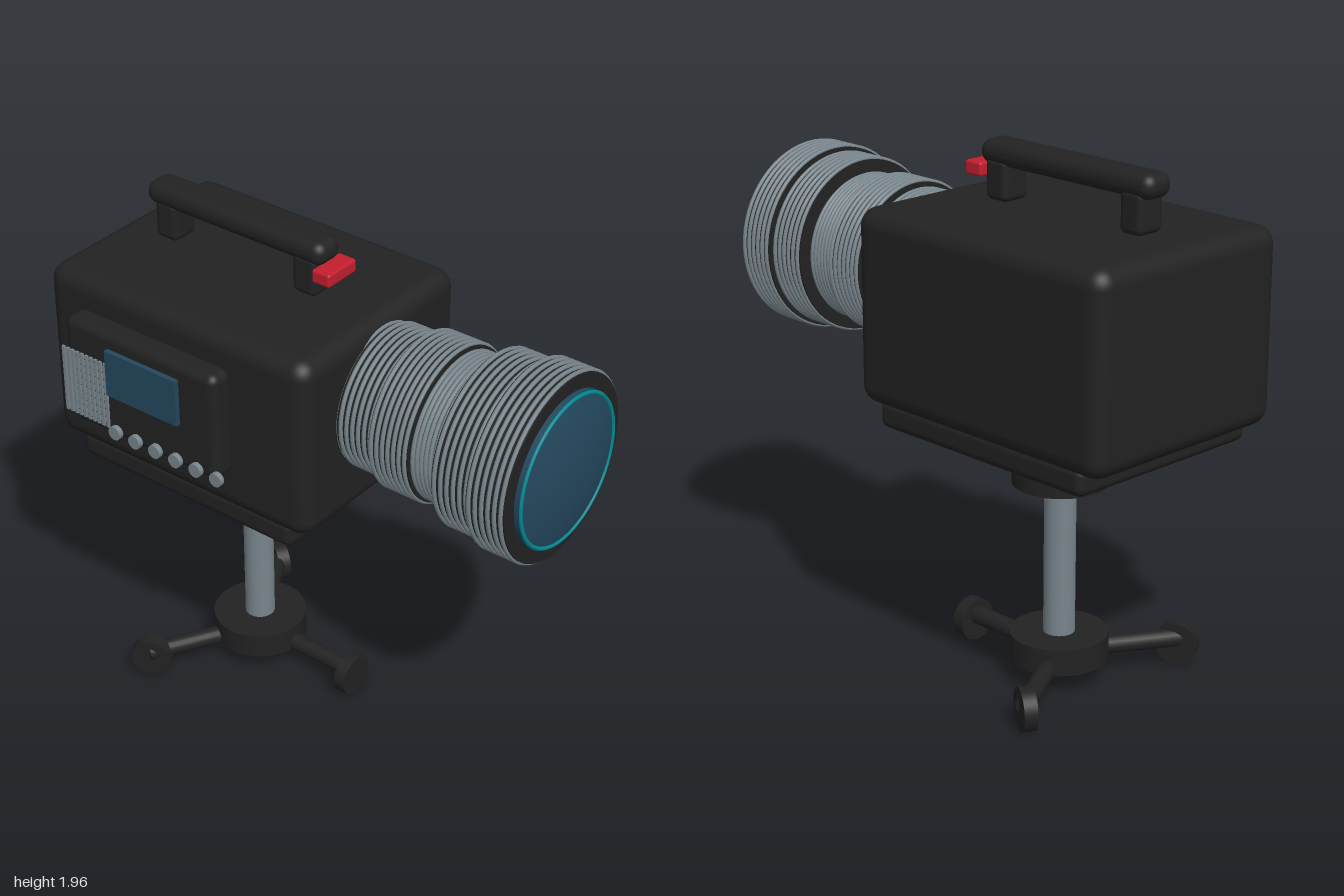
import * as THREE from 'three';
import { RoundedBoxGeometry } from 'three/addons/geometries/RoundedBoxGeometry.js';

const CX = 0.045; // middle of the body
const POLE_Z = -0.4;
const LENS_Y = 1.43;

function mat(name, color) {
  const m = new THREE.MeshStandardMaterial({ color });
  m.name = name;
  return m;
}

export function createModel() {
  const black = mat('black casing', 0x222222);
  const grey = mat('grey metal', 0x78858c);
  const blue = mat('blue glass', 0x24485e);
  const teal = mat('teal rim', 0x008b94);
  const red = mat('red button', 0xc41e2e);
  const model = new THREE.Group();

  const add = (name, geo, material, x, y, z, parent = model) => {
    const mesh = new THREE.Mesh(geo, material);
    mesh.name = name;
    mesh.position.set(x, y, z);
    parent.add(mesh);
    return mesh;
  };
  // rounded box given by its limits
  const box = (name, material, [x0, x1], [y0, y1], [z0, z1], r) =>
    add(name, new RoundedBoxGeometry(x1 - x0, y1 - y0, z1 - z0, 4, r), material,
      (x0 + x1) / 2, (y0 + y1) / 2, (z0 + z1) / 2);
  // upright cylinder given by its bottom and top
  const post = (name, material, r, y0, y1) =>
    add(name, new THREE.CylinderGeometry(r, r, y1 - y0, 40), material, CX, (y0 + y1) / 2, POLE_Z);

  // Body and mounting plate
  box('body', black, [-0.4, 0.49], [1.02, 1.74], [-1, 0.19], 0.07);
  box('mountingPlate', black, [-0.375, 0.465], [0.94, 1.05], [-0.9, 0.1], 0.035);

  // Carrying handle with its red button
  box('handleBar', black, [-0.02, 0.11], [1.87, 1.96], [-0.85, -0.04], 0.042);
  box('handlePostFront', black, [-0.015, 0.105], [1.745, 1.9], [-0.175, -0.07], 0.025);
  box('handlePostBack', black, [-0.015, 0.105], [1.745, 1.9], [-0.81, -0.71], 0.025);
  box('recordButton', red, [-0.035, 0.122], [1.825, 1.877], [-0.068, 0.01], 0.01);

  // Stand
  post('collar', black, 0.175, 0.76, 0.96);
  post('pole', grey, 0.058, 0.15, 0.8);
  post('hub', black, 0.182, 0.08, 0.18);

  // Three legs with disc feet
  for (let i = -1; i <= 1; i++) {
    const a = i * Math.PI * 2 / 3;
    const leg = new THREE.Group();
    leg.name = 'leg';
    leg.position.set(CX, 0, POLE_Z);
    leg.rotation.y = a;
    model.add(leg);
    const rod = new THREE.CylinderGeometry(0.035, 0.035, 0.47, 20).rotateX(Math.PI / 2);
    add('legRod', rod, black, 0, 0.1, 0.235, leg);
    // the rear discs are turned to face forwards
    const disc = new THREE.CylinderGeometry(0.08, 0.08, 0.05, 32).rotateX(Math.PI / 2);
    add('foot', disc, black, 0, 0.08, 0.455, leg).rotation.y = -i * Math.PI / 3;
  }

  // Lens barrel: stepped sections carrying fine grip rings
  const lens = new THREE.Group();
  lens.name = 'lens';
  lens.position.set(CX, LENS_Y, 0);
  model.add(lens);
  const sections = [
    [0.17, 0.345, 0.275, 7], [0.345, 0.51, 0.3, 7], [0.51, 0.635, 0.28, 7],
    [0.635, 0.79, 0.335, 6], [0.79, 0.945, 0.356, 6],
  ];
  for (const [z0, z1, r, rings] of sections) {
    const barrel = new THREE.CylinderGeometry(r - 0.01, r - 0.01, z1 - z0, 64).rotateX(Math.PI / 2);
    add('barrelSection', barrel, black, 0, 0, (z0 + z1) / 2, lens);
    const step = (z1 - z0) / rings;
    for (let i = 0; i < rings; i++) {
      add('gripRing', new THREE.TorusGeometry(r - 0.008, 0.008, 8, 64), grey,
        0, 0, z0 + step * (i + 0.5), lens);
    }
  }

  // Domed front glass with a teal rim
  const seat = new THREE.CylinderGeometry(0.29, 0.29, 0.03, 64).rotateX(Math.PI / 2);
  add('glassSeat', seat, blue, 0, 0, 0.95, lens);
  add('glassRim', new THREE.TorusGeometry(0.281, 0.008, 8, 64), teal, 0, 0, 0.965, lens);
  const profile = [];
  for (let i = 0; i <= 10; i++) {
    const r = 0.28 * (1 - i / 10);
    profile.push(new THREE.Vector2(r, 0.035 * (1 - (r / 0.28) ** 2)));
  }
  add('frontGlass', new THREE.LatheGeometry(profile, 64).rotateX(Math.PI / 2), blue, 0, 0, 0.965, lens);

  // Control panel on the right side
  box('controlPanel', black, [-0.485, -0.38], [1.19, 1.62], [-0.84, -0.14], 0.035);
  add('screen', new THREE.BoxGeometry(0.022, 0.185, 0.33), blue, -0.493, 1.468, -0.465);
  for (let i = 0; i < 10; i++) {
    add('ventSlat', new THREE.BoxGeometry(0.009, 0.27, 0.013), grey, -0.489, 1.36, -0.843 + i * 0.022);
  }
  for (let i = 0; i < 6; i++) {
    const knob = new THREE.CylinderGeometry(0.027, 0.027, 0.02, 24).rotateZ(Math.PI / 2);
    add('panelButton', knob, grey, -0.495, 1.22, -0.605 + i * 0.095);
  }
  return model;
}
